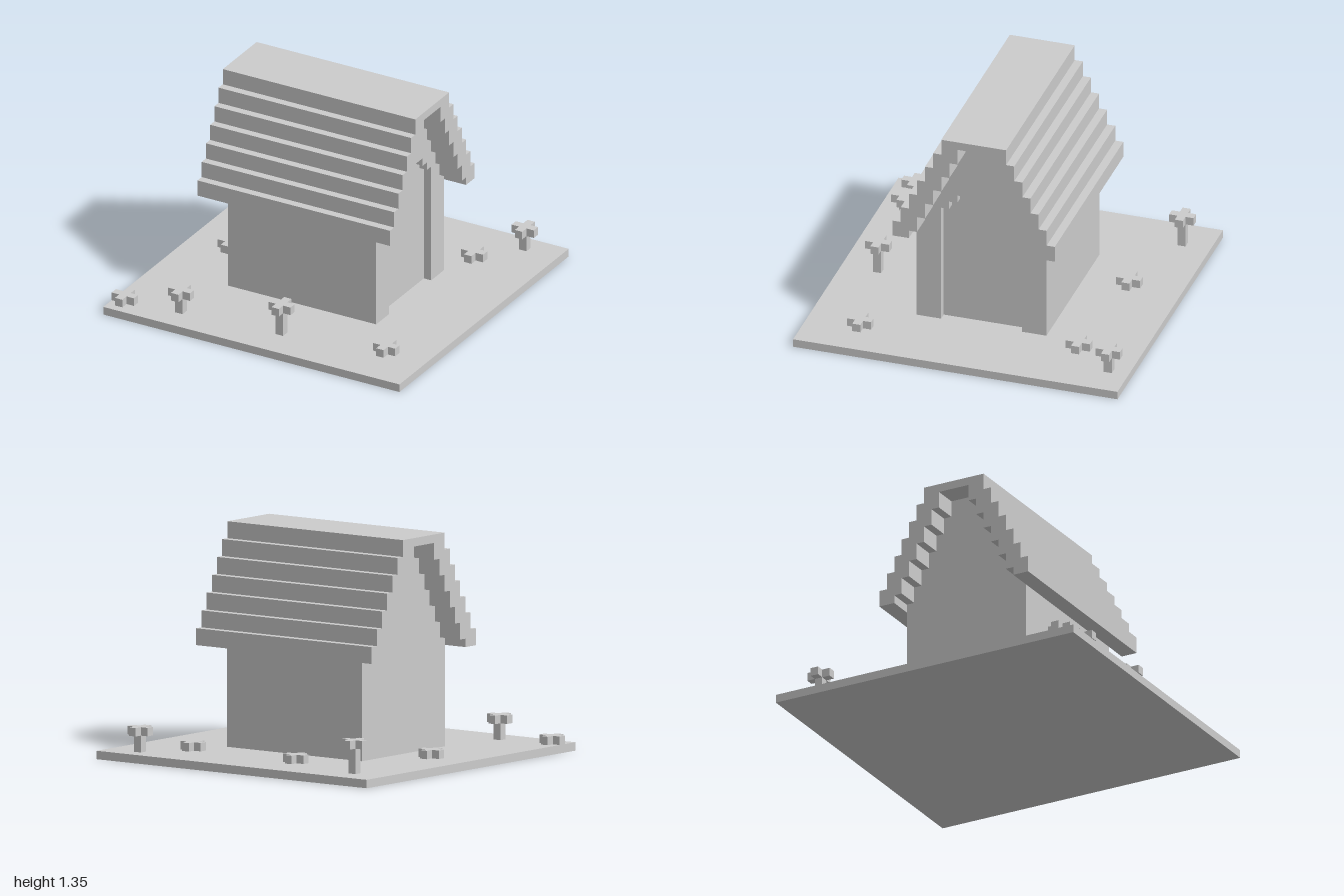
import * as THREE from 'three';

const material = new THREE.MeshStandardMaterial({ color: 0xcccccc, flatShading: true });

// Stepped arch outline running over the top from +side to -side; steps are [halfWidth, topY]
function steppedArch(bottom, steps) {
  const half = [];
  let y = bottom;
  for (const [w, top] of steps) {
    half.push([w, y], [w, top]);
    y = top;
  }
  return [...half, ...half.slice().reverse().map(([w, h]) => [-w, h])];
}

// Cross-section in the z-y plane, extruded along x from x0 to x1
function extrudeAlongX(name, outline, x0, x1) {
  const shape = new THREE.Shape(outline.map(([a, b]) => new THREE.Vector2(a, b)));
  const geometry = new THREE.ExtrudeGeometry(shape, { depth: x1 - x0, bevelEnabled: false });
  geometry.rotateY(Math.PI / 2).translate(x0, 0, 0);
  const mesh = new THREE.Mesh(geometry, material);
  mesh.name = name;
  return mesh;
}

function box(name, w, h, d, x, y, z) {
  const mesh = new THREE.Mesh(new THREE.BoxGeometry(w, h, d), material);
  mesh.position.set(x, y, z);
  mesh.name = name;
  return mesh;
}

// Flower of five cubes on an optional stem; top is the height of the petals
function flower(x, z, top) {
  const s = 0.05;
  const group = new THREE.Group();
  group.name = 'flower';
  group.position.set(x, 0, z);
  const y = top - s / 2;
  group.add(box('flowerCentre', s, s, s, 0, y, 0));
  for (const [dx, dz] of [[1, 0], [-1, 0], [0, 1], [0, -1]]) {
    group.add(box('petal', s, s, s, dx * s, y, dz * s));
  }
  const stem = top - 2 * s;
  if (stem > 0.01) group.add(box('stem', s, stem, s, 0, s + stem / 2, 0));
  return group;
}

export function createModel() {
  const model = new THREE.Group();
  model.name = 'cottage';

  model.add(box('ground', 2, 0.05, 2, 0, 0.025, 0));

  // Stepped profiles of the roof's outside and the gable beneath it
  const outerSteps = [], gableSteps = [];
  for (let i = 0; i < 7; i++) {
    outerSteps.push([0.5 - i * 0.05, 0.75 + i * 0.1]);
    gableSteps.push([0.4 - i * 0.05, 0.7 + i * 0.1]);
  }
  const outer = steppedArch(0.65, outerSteps);
  const inner = steppedArch(0.65, gableSteps);
  model.add(extrudeAlongX('roof', [...outer, ...inner.slice().reverse()], -0.65, 0.65));

  // House body, with a thin front layer leaving the recessed doorway
  const gable = steppedArch(0.05, gableSteps);
  const doorway = steppedArch(0.05, [[0.25, 0.8], [0.2, 0.85], [0.15, 0.9]]);
  model.add(extrudeAlongX('houseBody', gable, -0.5, 0.45));
  model.add(extrudeAlongX('doorSurround', [...gable, ...doorway.slice().reverse()], 0.45, 0.5));

  // Flowers around the house: x, z, height
  const flowers = [
    [-0.775, -0.825, 0.25], [0.075, 0.775, 0.25],
    [-0.575, 0.825, 0.2], [0.775, -0.875, 0.2],
    [-0.225, -0.675, 0.1], [0.575, -0.625, 0.1], [-0.725, -0.025, 0.1],
    [-0.925, 0.875, 0.1], [0.725, 0.675, 0.1],
  ];
  for (const [x, z, top] of flowers) model.add(flower(x, z, top));

  return model;
}
